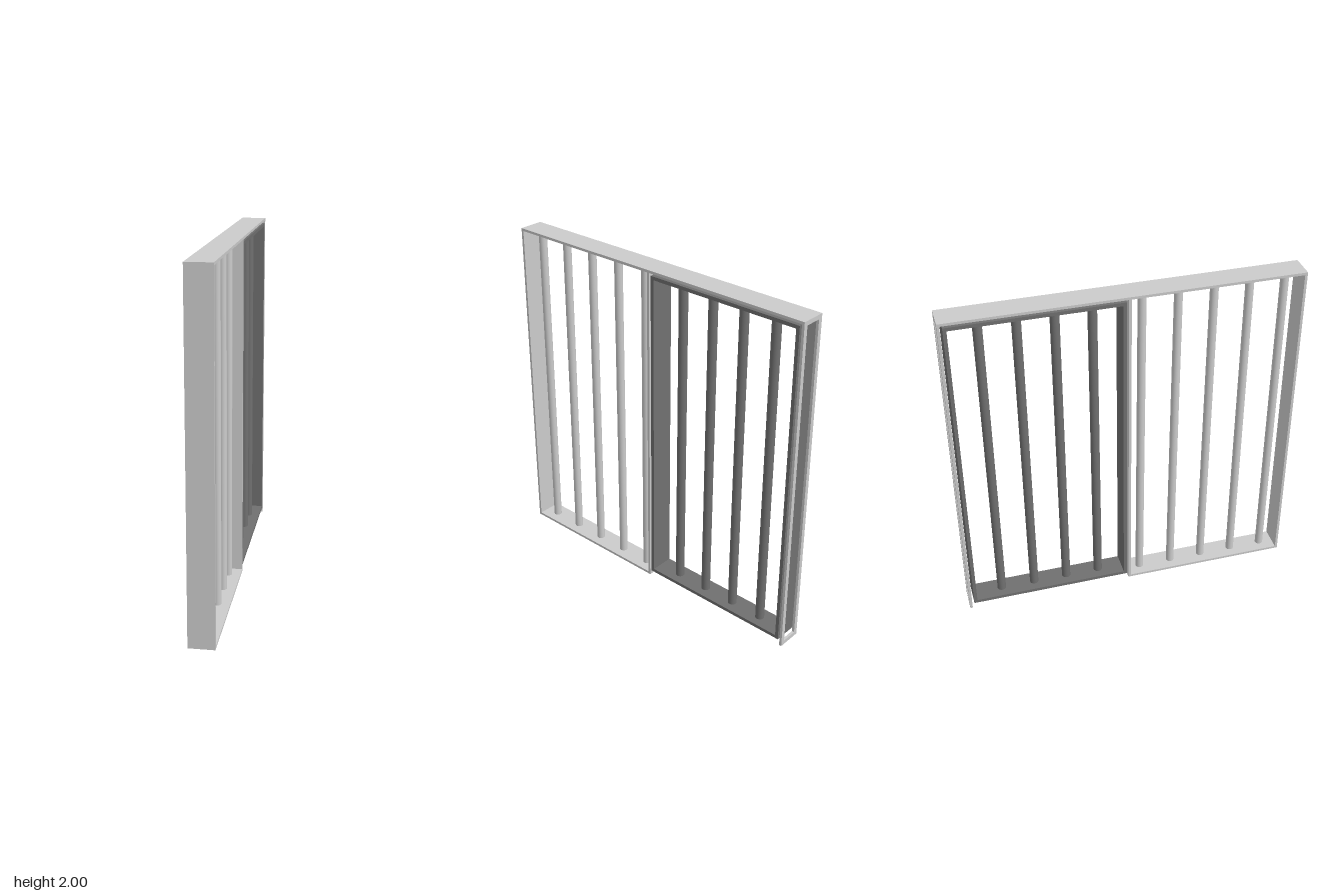
import * as THREE from 'three';

const DEPTH = 0.147; // thickness along x
const T = 0.015;     // outer frame plate thickness

export function createModel() {
  const root = new THREE.Group();
  const pale = new THREE.MeshStandardMaterial({ color: 0xcccccc });
  const dark = new THREE.MeshStandardMaterial({ color: 0x707070 });

  // plate spanning y0..y1 and z0..z1, centred on x
  const plate = (parent, name, mat, depth, y0, y1, z0, z1) => {
    const mesh = new THREE.Mesh(new THREE.BoxGeometry(depth, y1 - y0, z1 - z0), mat);
    mesh.position.set(0, (y0 + y1) / 2, (z0 + z1) / 2);
    mesh.name = name;
    parent.add(mesh);
  };

  // round vertical bar
  const bar = (parent, name, mat, r, y0, y1, z) => {
    const mesh = new THREE.Mesh(new THREE.CylinderGeometry(r, r, y1 - y0, 32, 1, true), mat);
    mesh.position.set(0, (y0 + y1) / 2, z);
    mesh.name = name;
    parent.add(mesh);
  };

  // Fixed frame with its grille in the front half
  const frame = new THREE.Group();
  frame.name = 'fixedFrame';
  root.add(frame);
  plate(frame, 'topBeam', pale, DEPTH, 2 - T, 2, -1, 1);
  plate(frame, 'frontPost', pale, DEPTH, 0, 2 - T, 1 - T, 1);
  plate(frame, 'middlePost', pale, DEPTH, 0, 2 - T, 0, T);
  plate(frame, 'bottomBeam', pale, DEPTH, 0, T, T, 1 - T);
  for (let i = 0; i < 5; i++) bar(frame, 'fixedBar', pale, 0.024, T, 2 - T, 0.9 - i * 0.202);

  // Back post: a thin plate with a tall slot
  const h = DEPTH / 2, rim = 0.025;
  const rect = (P, x, y0, y1) => new P([[-x, y0], [x, y0], [x, y1], [-x, y1]].map(p => new THREE.Vector2(...p)));
  const outline = rect(THREE.Shape, h, 0, 2 - T);
  outline.holes.push(rect(THREE.Path, h - rim, rim, 2 - rim));
  const backPost = new THREE.Mesh(new THREE.ExtrudeGeometry(outline, { depth: T, bevelEnabled: false }), pale);
  backPost.position.z = -1;
  backPost.name = 'backPost';
  frame.add(backPost);

  // Dark barred door in the back half, with a gap all round
  const door = new THREE.Group();
  door.name = 'door';
  root.add(door);
  const y0 = 0.033, y1 = 1.972, z0 = -0.972, z1 = -0.01, t = 0.02, d = DEPTH - 0.004;
  plate(door, 'doorTop', dark, d, y1 - t, y1, z0, z1);
  plate(door, 'doorBottom', dark, d, y0, y0 + t, z0, z1);
  plate(door, 'doorHingeSide', dark, d, y0 + t, y1 - t, z1 - t, z1);
  plate(door, 'doorLatchSide', dark, d, y0 + t, y1 - t, z0, z0 + t);
  for (let i = 0; i < 4; i++) bar(door, 'doorBar', dark, 0.026, y0 + t, y1 - t, -0.18 - i * 0.203);

  return root;
}
